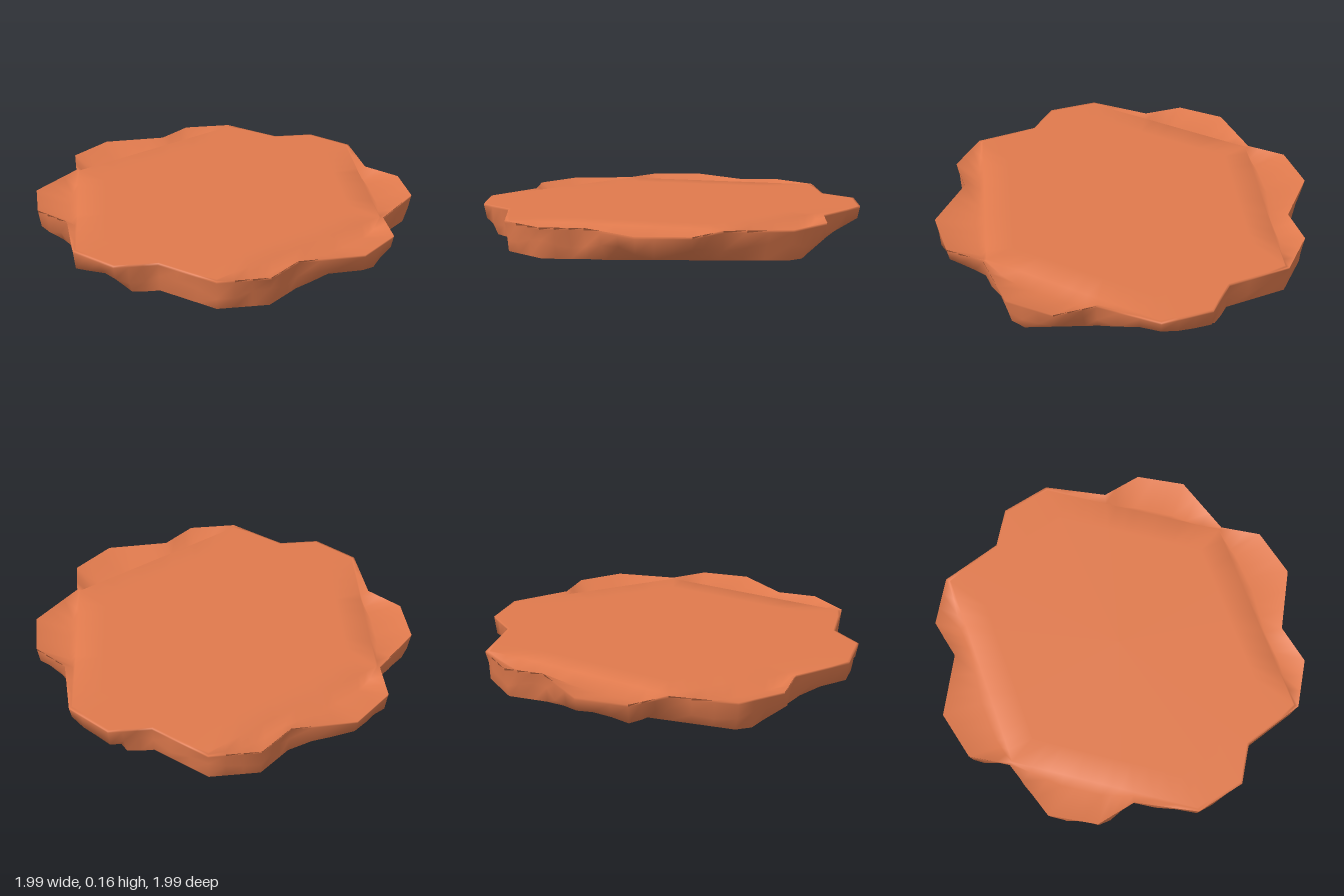
import * as THREE from 'three';

const HEIGHT = 0.16;
const SUBDIVISIONS = 3;

// One quarter of the scalloped outline (x, z); it repeats every 90 degrees.
const QUARTER = [[0.09, -0.89], [0.29, -0.975], [0.54, -0.87],
  [0.69, -0.565], [0.89, -0.475], [0.997, -0.235]];

// Straight cuts [nx, nz, distance]; each also applies on the opposite side.
const TOP_CUTS = [[0.81, 0.587, 0.77], [-0.94, 0.343, 0.805]];
const BOTTOM_CUTS = [[0.643, -0.766, 0.86], [0.92, 0.39, 0.81]];

function outline() {
  const corners = [];
  for (let q = 0; q < 4; q++) {
    for (const [x, z] of QUARTER) {
      corners.push([[x, z], [-z, x], [-x, -z], [z, -x]][q]);
    }
  }
  const points = [];
  corners.forEach(([x, z], i) => {
    const [x2, z2] = corners[(i + 1) % corners.length];
    for (let k = 0; k < SUBDIVISIONS; k++) {
      const t = k / SUBDIVISIONS;
      points.push([x + (x2 - x) * t, z + (z2 - z) * t]);
    }
  });
  return points;
}

// Radial scale that pulls a point back onto the nearest cut.
function cutScale([x, z], cuts) {
  return cuts.reduce((s, [nx, nz, d]) => Math.min(s, d / Math.max(d, Math.abs(nx * x + nz * z))), 1);
}

function slabGeometry() {
  const points = outline();
  const n = points.length;

  // Rings from the middle of the underside, up the wall, to the middle of the top: [scale, y].
  const rings = [
    p => [0.8 * cutScale(p, BOTTOM_CUTS), 0],
    p => [0.965 * cutScale(p, BOTTOM_CUTS), 0],
    p => [0.98 * cutScale(p, BOTTOM_CUTS), 0.002],
    // Chipped ridge halfway up the wall
    (p, i) => [0.987 - 0.008 * Math.sin(i * 2.1), 0.075 + 0.02 * Math.sin(i * 1.3)],
    () => [0.998, HEIGHT - 0.012],
    () => [1, HEIGHT],
    // Shallow trough behind the rim wherever the top is cut
    p => {
      const s = cutScale(p, TOP_CUTS);
      return [0.988 * (0.2 + 0.8 * s), HEIGHT - Math.min(0.06, (1 - s) * 0.6)];
    },
    p => [0.98 * cutScale(p, TOP_CUTS), HEIGHT],
    p => [0.8 * cutScale(p, TOP_CUTS), HEIGHT],
  ];

  const positions = [];
  for (const ring of rings) {
    points.forEach((p, i) => {
      const [s, y] = ring(p, i);
      positions.push(p[0] * s, y, p[1] * s);
    });
  }
  const bottomCentre = rings.length * n;
  const topCentre = bottomCentre + 1;
  positions.push(0, 0, 0, 0, HEIGHT, 0);

  const index = [];
  const last = (rings.length - 1) * n;
  for (let i = 0; i < n; i++) {
    const j = (i + 1) % n;
    for (let r = 0; r < rings.length - 1; r++) {
      const a = r * n + i, b = r * n + j;
      index.push(a, a + n, b, b, a + n, b + n);
    }
    index.push(bottomCentre, i, j);
    index.push(topCentre, last + j, last + i);
  }

  const geometry = new THREE.BufferGeometry();
  geometry.setAttribute('position', new THREE.Float32BufferAttribute(positions, 3));
  geometry.setIndex(index);
  geometry.computeVertexNormals();
  return geometry;
}

export function createModel() {
  const group = new THREE.Group();
  group.name = 'scallopedStone';
  const slab = new THREE.Mesh(slabGeometry(), new THREE.MeshStandardMaterial({ color: 0xe07a4d }));
  slab.name = 'stoneSlab';
  group.add(slab);
  return group;
}
